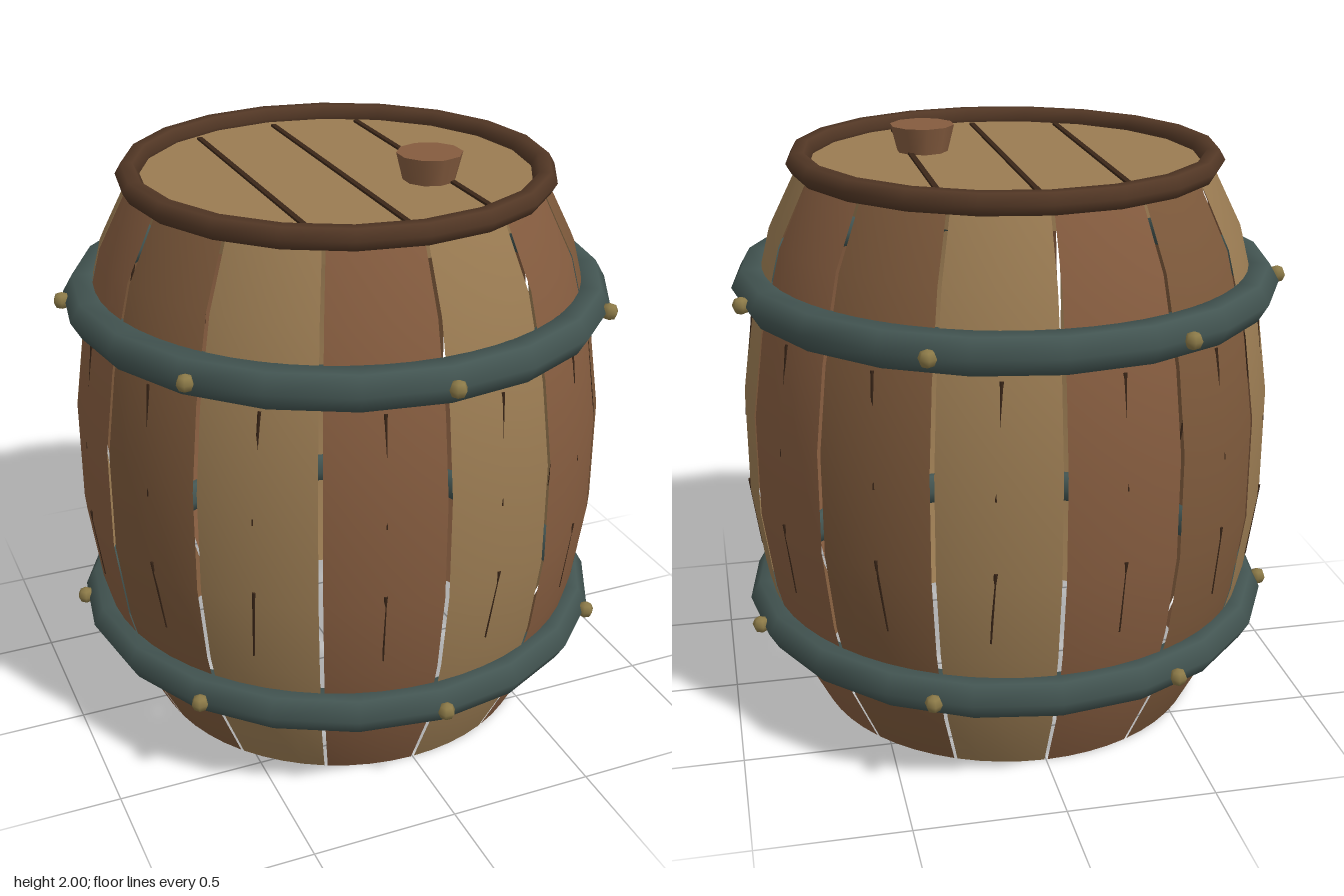
import * as THREE from 'three';

const mat = (color, side = THREE.FrontSide) => new THREE.MeshStandardMaterial({ color, side });
const STAVES = 14, STEP = (Math.PI * 2) / STAVES, GAP = 0.016;

// Barrel outline as [y, radius]
const PROFILE = [[0, 0.685], [0.22, 0.795], [0.5, 0.867], [0.78, 0.906],
  [1.13, 0.906], [1.41, 0.867], [1.69, 0.795], [1.91, 0.685]];

function radiusAt(y) {
  const i = Math.max(1, PROFILE.findIndex((p) => p[0] >= y));
  const [a, b] = [PROFILE[i - 1], PROFILE[i]];
  return THREE.MathUtils.mapLinear(y, a[0], b[0], a[1], b[1]);
}

const polar = (r, angle, y) => new THREE.Vector3(r * Math.sin(angle), y, r * Math.cos(angle));

export function createModel() {
  const model = new THREE.Group();
  model.name = 'barrel';
  model.position.z = -0.015;

  const add = (name, geometry, material, x = 0, y = 0, z = 0) => {
    const mesh = new THREE.Mesh(geometry, material);
    mesh.name = name;
    mesh.position.set(x, y, z);
    model.add(mesh);
    return mesh;
  };

  const woods = [0x9a7b52, 0x855c3f, 0x7d593b].map((c) => mat(c, THREE.DoubleSide));
  const darkWood = mat(0x3a2618);
  const rimWood = mat(0x523725);
  const iron = mat(0x435552);
  const brass = mat(0x8c7a48);

  // Curved staves with narrow open gaps between them
  const outline = PROFILE.map(([y, r]) => new THREE.Vector2(r, y));
  for (let i = 0; i < STAVES; i++) {
    add('stave', new THREE.LatheGeometry(outline, 4, i * STEP + GAP / 2, STEP - GAP), woods[i % 3]);
  }

  // Tapered grain cracks lying on each stave
  const crack = (angle, yTop, yBottom, lean) => {
    const top = polar(radiusAt(yTop), angle, yTop);
    const bottom = polar(radiusAt(yBottom), angle + lean, yBottom);
    const mesh = add('grainCrack',
      new THREE.CylinderGeometry(0.007, 0.003, top.distanceTo(bottom), 4), darkWood);
    mesh.position.copy(top).add(bottom).multiplyScalar(0.5);
    mesh.quaternion.setFromUnitVectors(new THREE.Vector3(0, 1, 0), top.sub(bottom).normalize());
  };
  for (let i = 0; i < STAVES; i++) {
    const angle = (i + 0.5) * STEP;
    const lean = 0.02 * ((i % 3) - 1);
    crack(angle - lean / 2, 1.43, 1.06, lean);
    crack(angle + lean / 2, 0.82, 0.56, lean);
  }

  // Iron hoops with round rivets
  const hoop = (name, radius, tube, y, material) =>
    add(name, new THREE.TorusGeometry(radius, tube, 6, 20).rotateX(Math.PI / 2), material, 0, y, 0);
  for (const y of [0.36, 1.515]) {
    hoop('hoop', 0.86, 0.069, y, iron);
    for (let k = 0; k < 7; k++) {
      const angle = (k * Math.PI * 2) / 7;
      const rivet = add('rivet', new THREE.SphereGeometry(0.03, 6, 4), brass);
      rivet.position.copy(polar(0.93, angle, y));
      rivet.rotation.y = angle;
    }
  }

  // Lid, its rim and the seams between the lid boards
  add('lid', new THREE.CylinderGeometry(0.67, 0.67, 0.08, 20), woods[0], 0, 1.87, 0);
  hoop('lidRim', 0.69, 0.04, 1.922, rimWood);
  for (const x of [-0.3, 0, 0.3]) {
    add('lidSeam', new THREE.BoxGeometry(0.018, 0.012, x ? 1.08 : 1.2), darkWood, x, 1.912, 0);
  }

  // Tapered bung
  add('bung', new THREE.CylinderGeometry(0.11, 0.085, 0.1, 10), woods[1], 0.25, 1.95, 0.185);

  return model;
}
